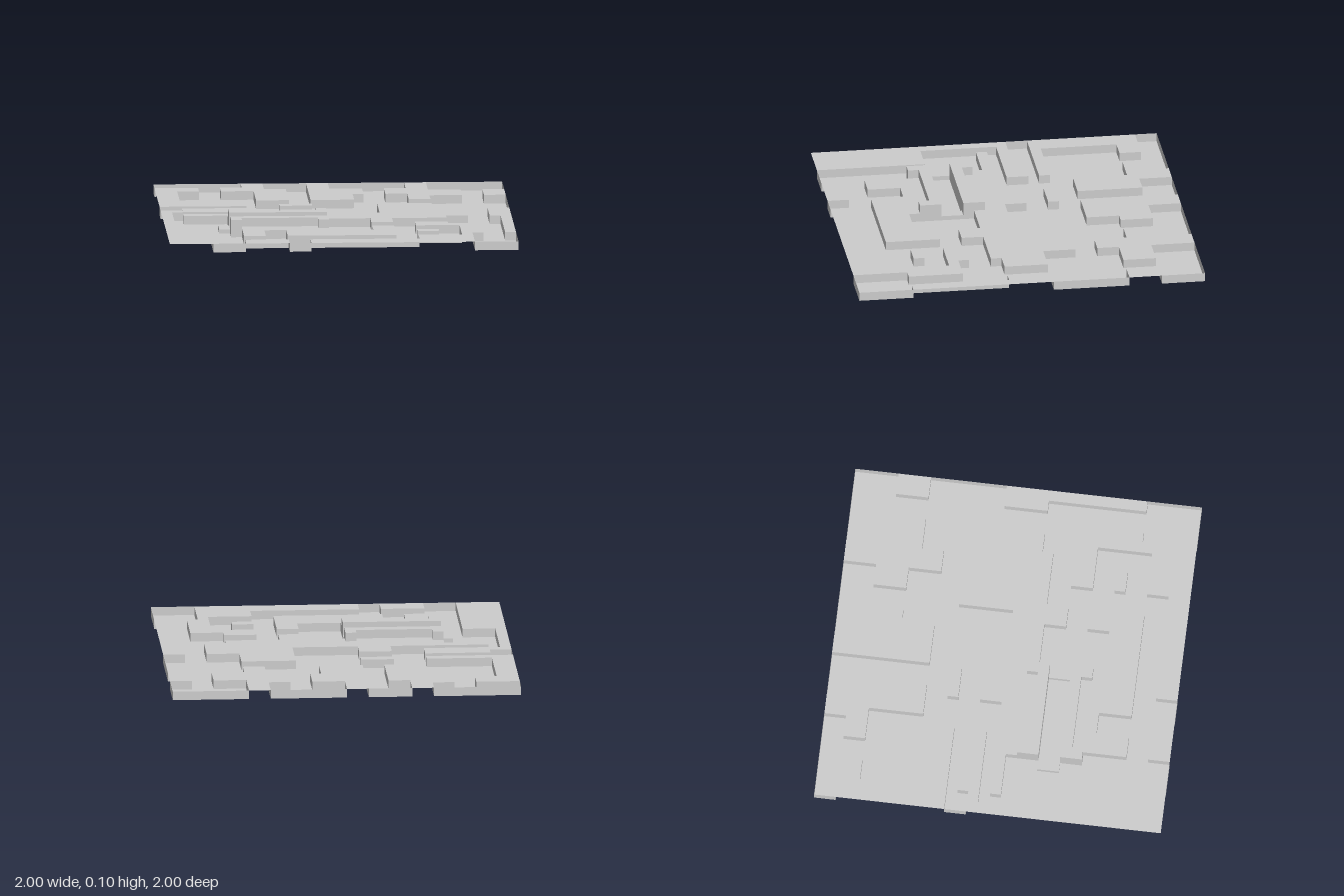
import * as THREE from 'three';

const N = 32, CELL = 2 / N, STEP = 0.05;

// Raised areas as outlines on a 32 x 32 grid, x and z in cells from the back left corner.
const plateaus = {
  westBank: [[0, 2], [4, 2], [4, 4], [2, 4], [2, 11], [8, 11], [8, 12], [0, 12]],
  backBlockA: [[8, 0], [8, 2], [6, 2], [6, 4], [9, 4], [9, 9], [12, 9], [12, 3], [10, 3], [10, 0]],
  backBlockB: [[14, 0], [14, 9], [18, 9], [18, 6], [19, 6], [19, 3], [16, 3], [16, 0]],
  backBlockC: [[23, 0], [23, 3], [21, 3], [21, 6], [23, 6], [23, 9], [25, 9], [25, 7], [28, 7], [28, 4], [25, 4], [25, 0]],
  eastNotch: [[32, 4], [30, 4], [30, 7], [32, 7]],
  smallBlock: [[11, 11], [14, 11], [14, 12], [11, 12]],
  frontWestBank: [[0, 14], [2, 14], [2, 13], [8, 13], [8, 15], [1, 15], [1, 22], [4, 22], [4, 32], [0, 32]],
  centreIsland: [[2, 16], [11, 16], [11, 14], [14, 14], [14, 16], [20, 16], [20, 11], [25, 11], [25, 14], [28, 14], [28, 18],
    [26, 18], [26, 19], [21, 19], [21, 21], [19, 21], [19, 19], [6, 19], [6, 17], [2, 17]],
  frontIsland: [[7, 23], [15, 23], [15, 25], [19, 25], [19, 23], [21, 23], [21, 28], [11, 28], [11, 25], [9, 25], [9, 28], [7, 28]],
  frontEastBank: [[13, 32], [13, 30], [23, 30], [23, 28], [27, 28], [27, 23], [23, 23], [23, 21], [26, 21], [26, 22],
    [29, 22], [29, 27], [28, 27], [28, 32]],
  pebble: [[23, 25], [25, 25], [25, 26], [23, 26]],
  frontBlock: [[7, 30], [11, 30], [11, 32], [7, 32]],
  eastBank: [[32, 14], [30, 14], [30, 18], [31, 18], [31, 27], [32, 27]],
};

// Twin parapets, twice as high, on both sides of a corridor.
const parapet = [[6, 18], [7, 18], [7, 19], [14, 19], [14, 18], [15, 18], [15, 20], [6, 20]];
const parapets = [parapet, parapet.map(([x, z]) => [x, 42 - z])];

function inside(poly, x, z) {
  let hit = false;
  poly.forEach(([ax, az], i) => {
    const [bx, bz] = poly[(i + 1) % poly.length];
    if ((az > z) !== (bz > z) && x < ax + ((z - az) * (bx - ax)) / (bz - az)) hit = !hit;
  });
  return hit;
}

// Height level of a cell: 0 path, 1 plateau, 2 parapet; the rim around the grid is level 1.
function levelAt(i, j) {
  if (i < 0 || j < 0 || i >= N || j >= N) return 1;
  const has = (poly) => inside(poly, i + 0.5, j + 0.5);
  if (parapets.some(has)) return 2;
  return Object.values(plateaus).some(has) ? 1 : 0;
}

function quadMesh(name, quads, material) {
  const pos = [];
  for (const q of quads) {
    for (const k of [0, 1, 2, 0, 2, 3]) {
      const [x, y, z] = q[k];
      pos.push(x * CELL - 1, y * STEP, z * CELL - 1);
    }
  }
  const geo = new THREE.BufferGeometry();
  geo.setAttribute('position', new THREE.Float32BufferAttribute(pos, 3));
  geo.computeVertexNormals();
  const mesh = new THREE.Mesh(geo, material);
  mesh.name = name;
  return mesh;
}

export function createModel() {
  const group = new THREE.Group();
  group.name = 'terrainTile';
  const material = new THREE.MeshStandardMaterial({ color: 0xcccccc, flatShading: true, side: THREE.DoubleSide });

  const tops = [[], [], []];
  const cliffs = [];

  // Vertical face along a cell edge, facing the lower cell on its left-hand side.
  const cliff = (x0, z0, x1, z1, lo, hi) =>
    cliffs.push([[x0, lo, z0], [x1, lo, z1], [x1, hi, z1], [x0, hi, z0]]);

  for (let i = 0; i < N; i++) {
    for (let j = 0; j < N; j++) {
      const h = levelAt(i, j);
      tops[h].push([[i, h, j], [i, h, j + 1], [i + 1, h, j + 1], [i + 1, h, j]]);
      // Walls rise from this cell to any higher neighbour or to the rim.
      const e = levelAt(i + 1, j), w = levelAt(i - 1, j), s = levelAt(i, j + 1), n = levelAt(i, j - 1);
      if (e > h) cliff(i + 1, j, i + 1, j + 1, h, e);
      if (w > h) cliff(i, j + 1, i, j, h, w);
      if (s > h) cliff(i + 1, j + 1, i, j + 1, h, s);
      if (n > h) cliff(i, j, i + 1, j, h, n);
    }
  }
  ['pathFloor', 'plateauTops', 'parapetTops'].forEach((name, k) => group.add(quadMesh(name, tops[k], material)));
  group.add(quadMesh('cliffWalls', cliffs, material));

  // Pairs of low steps at both ends of the corridor.
  for (const x of [5, 14]) {
    for (const z of [20, 21]) {
      const step = new THREE.Mesh(new THREE.BoxGeometry(CELL, STEP / 2, CELL), material);
      step.name = 'corridorStep';
      step.position.set((x + 0.5) * CELL - 1, STEP / 4, (z + 0.5) * CELL - 1);
      group.add(step);
    }
  }
  return group;
}
